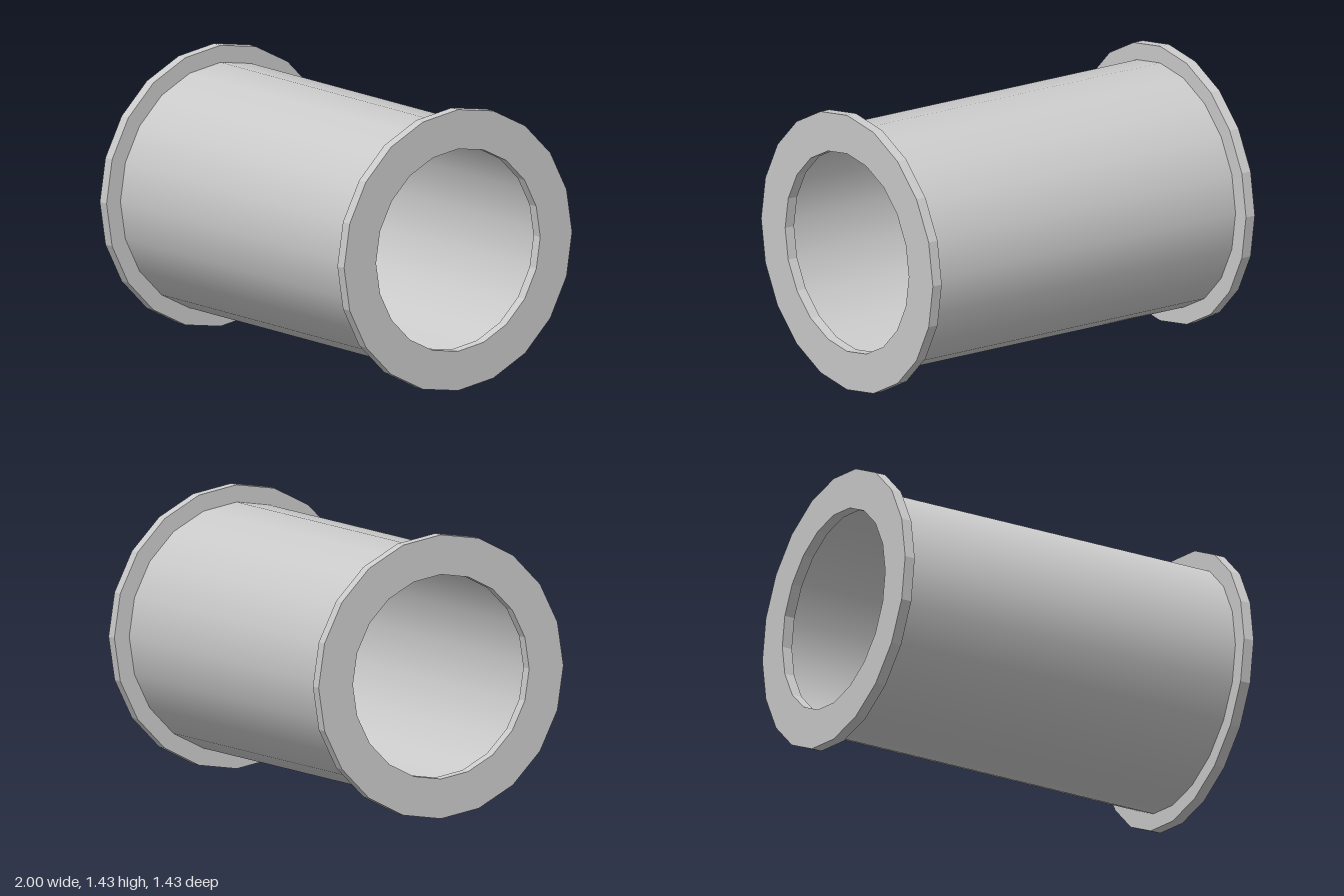
import * as THREE from 'three';

const SIDES = 20;
const OUTER = 0.715;      // flange rim radius
const BORE = 0.515;       // flange opening radius
const TUBE = 0.628;       // pipe radius
const THICK = 0.055;      // flange thickness

export function createModel() {
  const model = new THREE.Group();
  model.name = 'flangedPipe';

  // Smooth thin pipe wall, open at both ends
  const tubeGeometry = new THREE.CylinderGeometry(TUBE, TUBE, 2 - 2 * THICK, SIDES, 1, true);
  tubeGeometry.rotateZ(Math.PI / 2);
  const tube = new THREE.Mesh(
    tubeGeometry,
    new THREE.MeshStandardMaterial({ color: 0xcccccc, side: THREE.DoubleSide })
  );
  tube.name = 'pipeWall';
  tube.position.y = OUTER;
  model.add(tube);

  // Flat-sided ring flange, its rectangular section turned around the axis
  const h = THICK / 2;
  const section = [[OUTER, -h], [OUTER, h], [BORE, h], [BORE, -h], [OUTER, -h]]
    .map(([r, y]) => new THREE.Vector2(r, y));
  const flangeGeometry = new THREE.LatheGeometry(section, SIDES);
  flangeGeometry.rotateZ(Math.PI / 2);
  const flangeMaterial = new THREE.MeshStandardMaterial({ color: 0xcccccc, flatShading: true });

  // One flange at each end
  for (const [name, side] of [['leftFlange', 1], ['rightFlange', -1]]) {
    const flange = new THREE.Mesh(flangeGeometry, flangeMaterial);
    flange.name = name;
    flange.position.set(side * (1 - h), OUTER, 0);
    model.add(flange);
  }
  return model;
}
